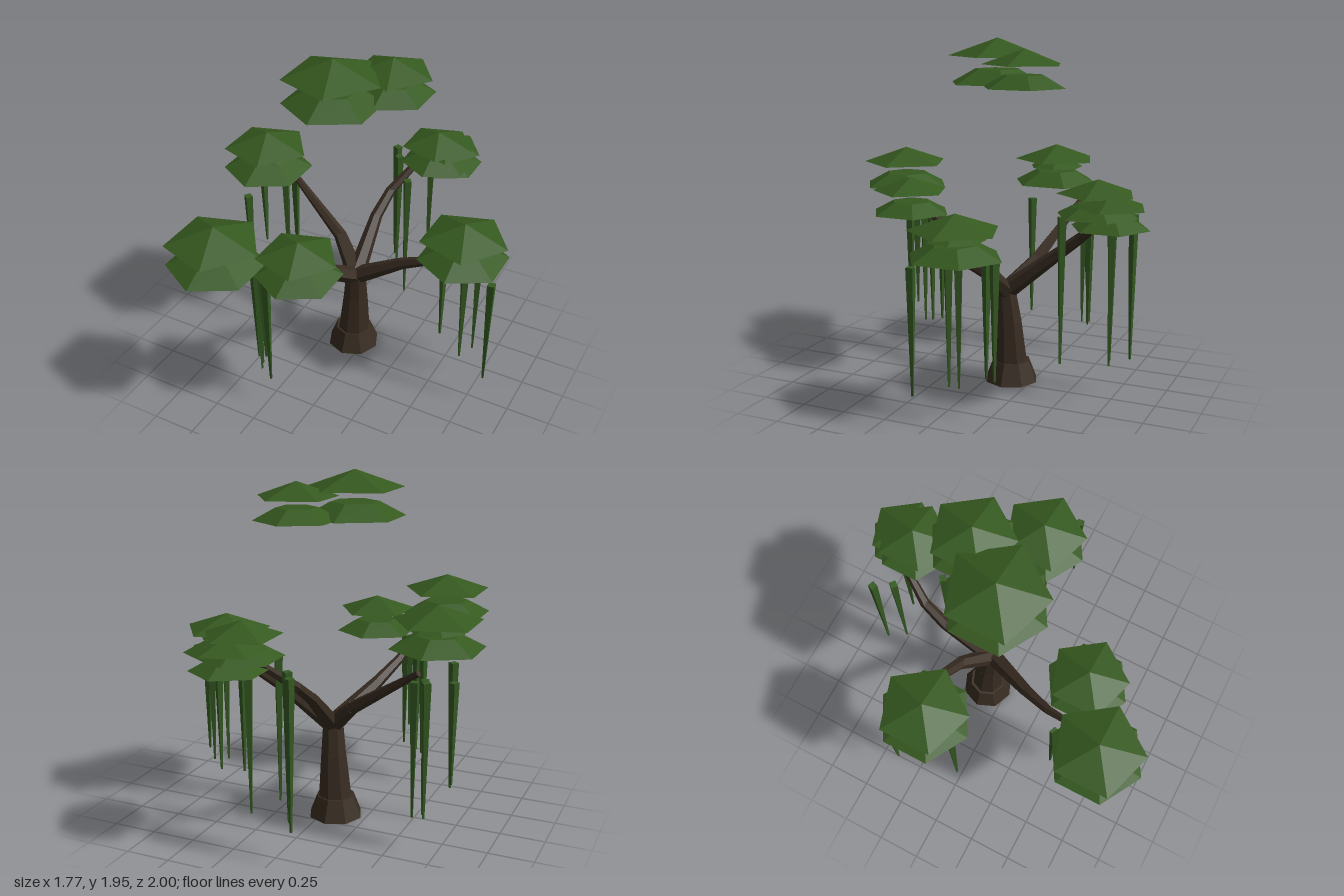
import * as THREE from 'three';

const flat = (name, color) => {
  const m = new THREE.MeshStandardMaterial({ color, flatShading: true });
  m.name = name;
  return m;
};

export function createModel() {
  const bark = flat('bark', 0x382c21);
  const leaf = flat('leaf', 0x35591f);
  const vineGreen = flat('vine', 0x355a22);
  const tree = new THREE.Group();
  tree.name = 'tree';

  const add = (parent, name, geometry, material, x = 0, y = 0, z = 0) => {
    const mesh = new THREE.Mesh(geometry, material);
    mesh.name = name;
    mesh.position.set(x, y, z);
    parent.add(mesh);
    return mesh;
  };

  // Tapered chain of straight pieces; each point is [x, y, z, radius]
  const limb = (name, points, sides) => {
    const group = new THREE.Group();
    group.name = name;
    for (let i = 0; i < points.length - 1; i++) {
      const a = new THREE.Vector3(...points[i]);
      const b = new THREE.Vector3(...points[i + 1]);
      const dir = b.clone().sub(a);
      const geo = new THREE.CylinderGeometry(points[i + 1][3], points[i][3], dir.length() + 0.01, sides);
      const piece = add(group, name + 'Piece', geo, bark);
      piece.position.copy(a).add(b).multiplyScalar(0.5);
      piece.quaternion.setFromUnitVectors(new THREE.Vector3(0, 1, 0), dir.normalize());
    }
    tree.add(group);
  };

  // Root flare and trunk
  add(tree, 'rootFlare', new THREE.CylinderGeometry(0.108, 0.155, 0.12, 8), bark, -0.07, 0.06, -0.127);
  limb('trunk', [
    [-0.065, 0.115, -0.125, 0.098],
    [-0.053, 0.35, -0.118, 0.076],
    [-0.042, 0.54, -0.1, 0.06],
  ], 8);

  // Four main branches
  const fork = [-0.04, 0.53, -0.1, 0.055];
  const branches = [
    [[-0.21, 0.69, -0.22, 0.038], [-0.62, 0.97, -0.34, 0.018]],
    [[0.25, 0.71, -0.11, 0.034], [0.63, 0.885, -0.11, 0.015]],
    [[-0.19, 0.71, 0.2, 0.036], [-0.26, 0.81, 0.37, 0.027], [-0.3, 0.91, 0.55, 0.018]],
    [[-0.06, 0.77, -0.4, 0.036], [-0.035, 0.88, -0.54, 0.03], [0.08, 1.05, -0.74, 0.02]],
  ];
  for (const points of branches) limb('branch', [fork, ...points], 6);

  // Layered leaf pads: x, z, upper base y, upper radius, lower base y, lower radius, has middle layer
  const pads = [
    [-0.13, -0.01, 1.85, 0.278, 1.7, 0.28, false],
    [0.095, -0.26, 1.82, 0.23, 1.7, 0.235, false],
    [-0.665, -0.17, 1.208, 0.25, 1.068, 0.26, true],
    [-0.425, 0.735, 1.167, 0.262, 1.028, 0.265, false],
    [-0.06, 0.51, 1.062, 0.227, 0.935, 0.237, false],
    [0.623, -0.105, 1.017, 0.252, 0.88, 0.258, true],
    [0.19, -0.71, 1.178, 0.215, 1.066, 0.22, false],
    [0.22, -0.79, 1.12, 0.203, 1.015, 0.21, false],
  ];
  for (const [x, z, y1, r1, y2, r2, middle] of pads) {
    const pad = new THREE.Group();
    pad.name = 'leafPad';
    pad.position.set(x, 0, z);
    const h1 = r1 * 0.36, h2 = r2 * 0.28;
    add(pad, 'upperLeaves', new THREE.ConeGeometry(r1, h1, 5).rotateY(Math.PI / 2), leaf, 0, y1 + h1 / 2, 0);
    add(pad, 'lowerLeaves', new THREE.CylinderGeometry(r2 * 0.48, r2, h2, 6), leaf, 0, y2 + h2 / 2, 0);
    if (middle) add(pad, 'middleLeaves', new THREE.ConeGeometry(0.16, 0.08, 7), leaf, 0, y1 - 0.005, 0);
    tree.add(pad);
  }

  // Hanging vines by group: top height, then x, z, bottom height
  const vines = [
    [0.945, [[-0.81, -0.33, 0.39], [-0.705, 0, 0.22], [-0.685, -0.39, 0.2], [-0.665, -0.35, 0.2], [-0.625, -0.4, 0.2]]],
    [0.87, [[0.472, -0.21, 0.2], [0.572, -0.3, 0.23], [0.652, -0.08, 0.2], [0.7, -0.16, 0.22], [0.845, 0.03, 0.2]]],
    [0.89, [[-0.375, 0.47, 0.2], [-0.325, 0.51, 0.2], [-0.305, 0.55, 0.2], [-0.255, 0.575, 0.33], [-0.215, 0.6, 0.2]]],
    [1.02, [[-0.125, -0.815, 0.2], [-0.065, -0.715, 0.2], [0.1, -0.485, 0.2], [0.125, -0.77, 0.24]]],
  ];
  for (const [top, list] of vines) {
    list.forEach(([x, z, bottom], i) => {
      const h = top - bottom;
      const geo = new THREE.CylinderGeometry(0.028, 0.007, h, 4).rotateY(0.4 + i * 1.3);
      add(tree, 'vine', geo, vineGreen, x, bottom + h / 2, z);
    });
  }
  return tree;
}
